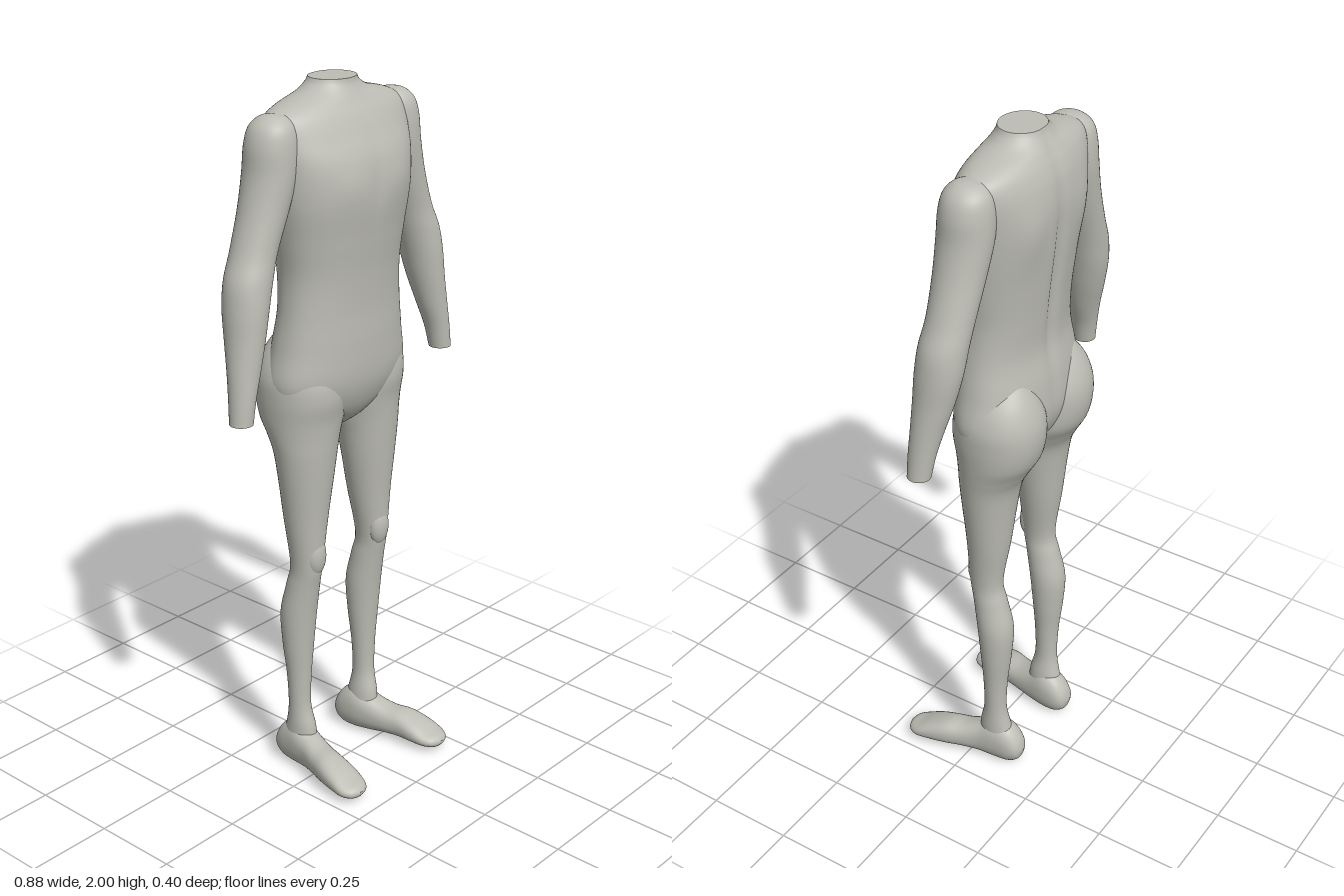
import * as THREE from 'three';

const skin = new THREE.MeshStandardMaterial({ color: 0xbdbdb5 });
skin.name = 'plain grey';

// Smooth value between rows b and c
const spline = (a, b, c, d, t) =>
  b + 0.5 * t * (c - a + t * (2 * a - 5 * b + 4 * c - d + t * (3 * (b - c) + d - a)));

// Loft rows of [position, xMin, xMax, lower, upper, power] into a closed skin.
// Upright lofts run along y (lower/upper = z); lying lofts run along z (lower/upper = y).
function loft(rows, { side = 1, lying = false, shape = null, sides = 48, steps = 6 } = {}) {
  const pos = [], idx = [], rings = [];
  const last = rows.length - 1;
  for (let i = 0; i <= last * steps; i++) {
    const k = Math.min(Math.floor(i / steps), last - 1), t = i / steps - k;
    const r = (n) => rows[Math.min(Math.max(n, 0), last)];
    const [p, x0, x1, v0, v1, e] = rows[0].map((_, c) =>
      spline(r(k - 1)[c], r(k)[c], r(k + 1)[c], r(k + 2)[c], t));
    const ring = [];
    for (let j = 0; j < sides; j++) {
      const a = (j / sides) * Math.PI * 2, c = Math.cos(a), s = Math.sin(a);
      const x = (x0 + x1) / 2 + ((x1 - x0) / 2) * Math.sign(c) * Math.abs(c) ** (2 / e);
      let v = (v0 + v1) / 2 + ((v1 - v0) / 2) * Math.sign(s) * Math.abs(s) ** (2 / e);
      if (shape) v += shape(x, p, s);
      ring.push(lying ? [x * side, v, p] : [x * side, p, v]);
    }
    rings.push(ring);
  }
  const flip = (side < 0) !== lying;
  const tri = (a, b, c) => (flip ? idx.push(a, c, b) : idx.push(a, b, c));
  rings.forEach((ring) => ring.forEach((q) => pos.push(...q)));
  for (let i = 0; i < rings.length - 1; i++) {
    for (let j = 0; j < sides; j++) {
      const a = i * sides + j, b = i * sides + ((j + 1) % sides);
      tri(a, a + sides, b);
      tri(b, a + sides, b + sides);
    }
  }
  // End caps use their own vertices so their rims stay sharp
  [rings[0], rings[rings.length - 1]].forEach((ring, end) => {
    const base = pos.length / 3;
    ring.forEach((q) => pos.push(...q));
    pos.push(...[0, 1, 2].map((n) => ring.reduce((sum, q) => sum + q[n], 0) / sides));
    for (let j = 0; j < sides; j++) {
      const a = base + j, b = base + ((j + 1) % sides);
      end ? tri(a, base + sides, b) : tri(a, b, base + sides);
    }
  });
  const g = new THREE.BufferGeometry();
  g.setAttribute('position', new THREE.Float32BufferAttribute(pos, 3));
  g.setIndex(idx);
  g.computeVertexNormals();
  return g;
}

// Symmetric torso rows: [y, halfWidth, zBack, zFront, power]
const torsoRows = [
  [1.05, 0.025, -0.08, -0.02, 2],
  [1.08, 0.1, -0.12, 0.015, 2],
  [1.13, 0.2, -0.155, 0.045, 2.1],
  [1.2, 0.236, -0.175, 0.065, 2.2],
  [1.3, 0.22, -0.17, 0.07, 2.2],
  [1.4, 0.205, -0.155, 0.07, 2.2],
  [1.5, 0.2, -0.16, 0.076, 2.2],
  [1.6, 0.212, -0.17, 0.088, 2.2],
  [1.7, 0.228, -0.18, 0.099, 2.2],
  [1.8, 0.24, -0.185, 0.09, 2.2],
  [1.87, 0.25, -0.178, 0.062, 2.1],
  [1.915, 0.245, -0.165, 0.04, 2],
  [1.942, 0.2, -0.152, 0.023, 2],
  [1.965, 0.115, -0.14, 0.01, 2],
  [1.985, 0.08, -0.13, 0.0, 2],
  [2.0, 0.068, -0.125, -0.003, 2],
].map(([y, w, b, f, e]) => [y, -w, w, b, f, e]);

// Spine groove, shoulder blades and a shallow breastbone line
function torsoShape(x, y, s) {
  const bell = (v, c, w) => Math.exp(-(((v - c) / w) ** 2));
  if (s < 0) {
    return 0.013 * bell(x, 0, 0.018) * bell(y, 1.6, 0.3)
      - 0.008 * bell(Math.abs(x), 0.12, 0.05) * bell(y, 1.76, 0.08);
  }
  return s * (0.005 * bell(Math.abs(x), 0.1, 0.07) * bell(y, 1.74, 0.05)
    - 0.003 * bell(x, 0, 0.02) * bell(y, 1.75, 0.1));
}

const armRows = [
  [1.165, 0.376, 0.439, -0.05, 0.014, 2],
  [1.23, 0.362, 0.433, -0.06, 0.015, 2],
  [1.3, 0.338, 0.426, -0.075, 0.015, 2],
  [1.38, 0.314, 0.417, -0.096, 0.016, 2],
  [1.46, 0.293, 0.411, -0.112, 0.016, 2],
  [1.53, 0.272, 0.4, -0.117, 0.012, 2],
  [1.6, 0.247, 0.371, -0.12, 0.006, 2],
  [1.7, 0.205, 0.337, -0.126, 0.01, 2],
  [1.79, 0.175, 0.315, -0.132, 0.015, 2],
  [1.86, 0.165, 0.308, -0.13, 0.013, 2],
  [1.905, 0.175, 0.293, -0.12, 0.003, 2],
  [1.93, 0.195, 0.266, -0.096, -0.02, 2],
  [1.937, 0.222, 0.24, -0.065, -0.05, 2],
];

const legRows = [
  [0.06, 0.095, 0.172, -0.14, -0.02, 2],
  [0.13, 0.1, 0.172, -0.12, -0.025, 2],
  [0.2, 0.109, 0.171, -0.107, -0.04, 2],
  [0.3, 0.104, 0.176, -0.11, -0.039, 2],
  [0.4, 0.094, 0.186, -0.121, -0.032, 2],
  [0.5, 0.088, 0.191, -0.126, -0.022, 2],
  [0.59, 0.093, 0.184, -0.106, -0.008, 2],
  [0.66, 0.095, 0.181, -0.092, 0.004, 2],
  [0.8, 0.07, 0.196, -0.111, 0.013, 2],
  [0.92, 0.048, 0.211, -0.124, 0.024, 2],
  [1.0, 0.033, 0.221, -0.137, 0.031, 2],
  [1.05, 0.018, 0.228, -0.16, 0.035, 2],
  [1.1, 0.003, 0.234, -0.187, 0.04, 2.1],
  [1.16, 0.0, 0.238, -0.2, 0.05, 2.1],
  [1.22, 0.004, 0.235, -0.197, 0.045, 2.1],
  [1.28, 0.03, 0.21, -0.176, 0.02, 2.1],
  [1.34, 0.07, 0.16, -0.14, -0.02, 2],
];

// Foot rows run from heel to toe: [z, xMin, xMax, yMin, yMax, power]
const footRows = [
  [-0.162, 0.122, 0.14, 0.045, 0.06, 2],
  [-0.152, 0.1, 0.16, 0.018, 0.09, 2],
  [-0.125, 0.088, 0.172, 0.002, 0.122, 2.2],
  [-0.08, 0.087, 0.179, 0.0, 0.14, 2.3],
  [-0.03, 0.096, 0.185, 0.005, 0.115, 2.3],
  [0.02, 0.107, 0.2, 0.01, 0.097, 2.3],
  [0.07, 0.118, 0.217, 0.01, 0.092, 2.3],
  [0.12, 0.122, 0.227, 0.01, 0.075, 2.3],
  [0.16, 0.13, 0.229, 0.01, 0.056, 2.2],
  [0.187, 0.146, 0.215, 0.013, 0.046, 2],
  [0.199, 0.172, 0.19, 0.024, 0.034, 2],
];

export function createModel() {
  const model = new THREE.Group();
  model.name = 'headlessFigure';
  const add = (name, geometry) => {
    const mesh = new THREE.Mesh(geometry, skin);
    mesh.name = name;
    model.add(mesh);
    return mesh;
  };

  add('torso', loft(torsoRows, { shape: torsoShape, sides: 96 }));

  for (const [label, side] of [['left', 1], ['right', -1]]) {
    add(label + 'Arm', loft(armRows, { side }));
    add(label + 'Leg', loft(legRows, { side }));
    add(label + 'Foot', loft(footRows, { side, lying: true }));
    // Kneecap, mostly sunk into the leg
    const knee = add(label + 'Kneecap', new THREE.SphereGeometry(1, 24, 16));
    knee.scale.set(0.034, 0.06, 0.026);
    knee.position.set(0.134 * side, 0.69, -0.013);
  }
  return model;
}
